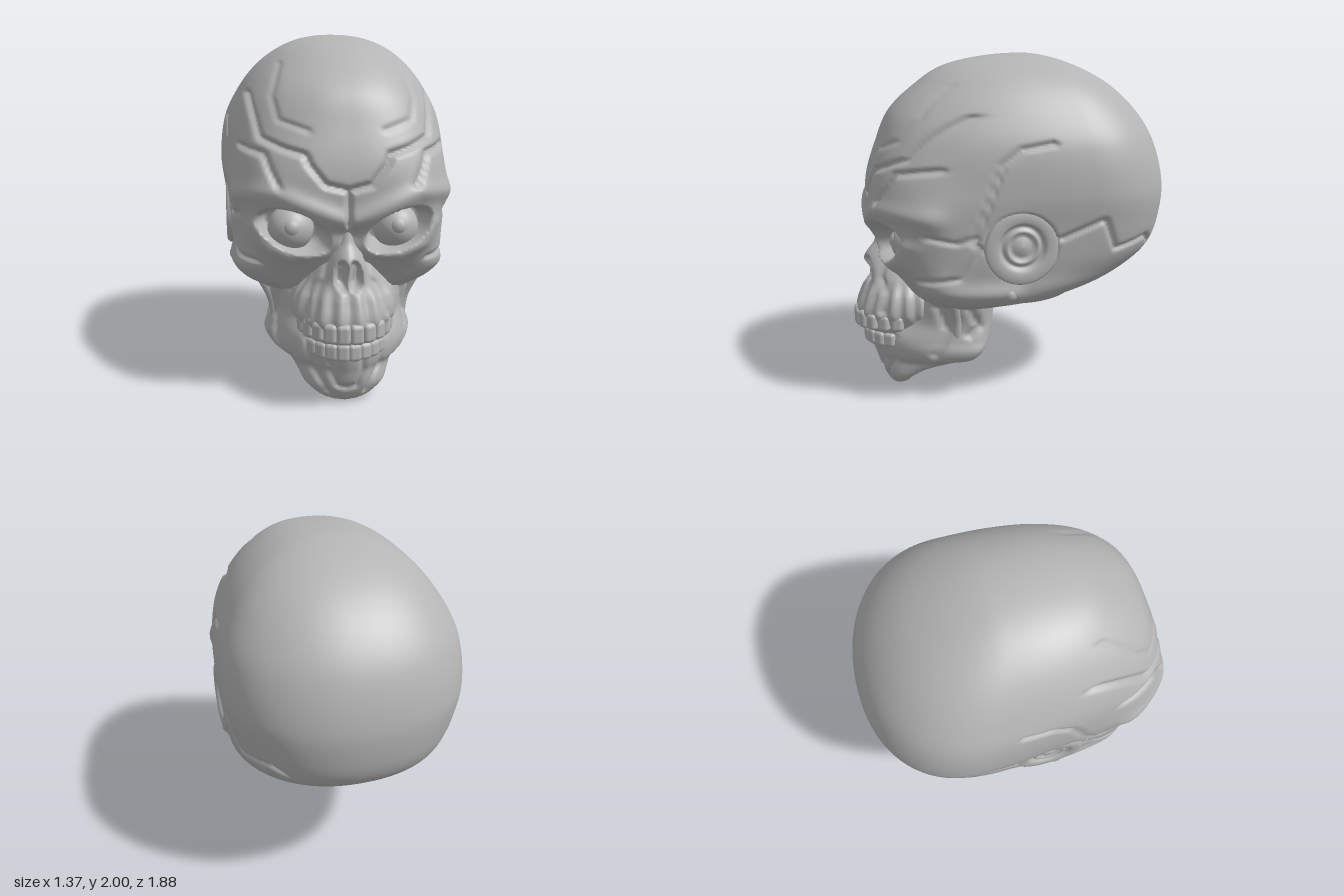
import * as THREE from 'three';
import { RoundedBoxGeometry } from 'three/addons/geometries/RoundedBoxGeometry.js';

const bone = new THREE.MeshStandardMaterial({ color: 0xb4b4b4 });
bone.name = 'bone grey';

// Smooth interpolation of a table row, keyed by its first column (height, top first)
function sampleRows(rows, y) {
  const key = (v) => Math.sqrt(Math.max(0, rows[0][0] - v));
  const k = rows.map((r) => key(r[0])), q = key(y), last = rows.length - 1;
  let i = 0;
  while (i < last - 1 && q > k[i + 1]) i++;
  const h = k[i + 1] - k[i], t = Math.min(1, (q - k[i]) / h);
  const slope = (c, n) => {
    const a = Math.max(0, n - 1), b = Math.min(last, n + 1);
    return (rows[b][c] - rows[a][c]) / (k[b] - k[a]);
  };
  return rows[0].map((_, c) => {
    const t2 = t * t, t3 = t2 * t;
    return rows[i][c] * (2 * t3 - 3 * t2 + 1) + rows[i + 1][c] * (3 * t2 - 2 * t3)
      + h * (slope(c, i) * (t3 - 2 * t2 + t) + slope(c, i + 1) * (t3 - t2));
  });
}

// Loft of horizontal superellipse slices: [y, halfWidth, frontZ, backZ, centreZ, frontPower]
// sculpt(p, angle) returns the push along the slice radius and may move p itself.
function loft(rows, nu, nv, warp, sculpt) {
  const pos = [], index = [], p = new THREE.Vector3();
  const y0 = rows[0][0], height = y0 - rows[rows.length - 1][0];
  for (let i = 0; i < nv; i++) {
    const y = y0 - height * Math.pow(i / (nv - 1), 1.3);
    const [, w, zf, zb, zc, nf] = sampleRows(rows, y);
    for (let j = 0; j < nu; j++) {
      const s = (2 * j) / nu - 1;
      const a = Math.PI * Math.sign(s) * Math.pow(Math.abs(s), warp);
      const front = Math.cos(a) > 0, n = front ? nf : 2.2;
      const d = Math.max(1e-3, front ? zf - zc : zc - zb);
      const r = 1 / Math.pow(Math.pow(Math.abs(Math.sin(a)) / Math.max(w, 1e-3), n)
        + Math.pow(Math.abs(Math.cos(a)) / d, n), 1 / n);
      p.set(r * Math.sin(a), y, zc + r * Math.cos(a));
      const push = r > 0.05 ? sculpt(p, a) : 0;
      pos.push(p.x + push * Math.sin(a), p.y, p.z + push * Math.cos(a));
    }
  }
  for (let i = 0; i < nv - 1; i++) for (let j = 0; j < nu; j++) {
    const k = (j + 1) % nu, a = i * nu + j, b = a + nu, c = (i + 1) * nu + k, d = i * nu + k;
    index.push(a, b, c, a, c, d);
  }
  // Close both ends
  const top = pos.length / 3, base = (nv - 1) * nu;
  pos.push(0, y0, rows[0][4], 0, y0 - height, rows[rows.length - 1][4]);
  for (let j = 0; j < nu; j++) {
    const k = (j + 1) % nu;
    index.push(top, j, k, top + 1, base + k, base + j);
  }
  const g = new THREE.BufferGeometry();
  g.setAttribute('position', new THREE.Float32BufferAttribute(pos, 3));
  g.setIndex(index);
  g.computeVertexNormals();
  return g;
}

// Bell-shaped stroke along a 2D polyline, 1 on the line and fading over the width
function stroke(x, y, line, width) {
  let best = 1e9;
  for (let i = 0; i < line.length - 1; i++) {
    const [ax, ay] = line[i], dx = line[i + 1][0] - ax, dy = line[i + 1][1] - ay;
    const t = THREE.MathUtils.clamp(((x - ax) * dx + (y - ay) * dy) / (dx * dx + dy * dy), 0, 1);
    best = Math.min(best, Math.hypot(x - ax - t * dx, y - ay - t * dy));
  }
  return Math.exp(-((best / width) ** 2));
}
const step = THREE.MathUtils.smoothstep;
const bell = (u, v) => Math.exp(-u * u - v * v);

const skullRows = [
  [2.0, 0, -0.1, -0.1, -0.1, 2.2], [1.985, 0.16, 0.12, -0.23, -0.1, 2.2],
  [1.93, 0.31, 0.36, -0.41, -0.12, 2.3], [1.82, 0.46, 0.535, -0.615, -0.2, 2.4],
  [1.67, 0.575, 0.69, -0.775, -0.28, 2.5], [1.5, 0.655, 0.765, -0.88, -0.33, 2.7],
  [1.25, 0.685, 0.835, -0.947, -0.36, 3.2], [1.05, 0.66, 0.825, -0.94, -0.33, 3.3],
  [0.9, 0.64, 0.79, -0.895, -0.25, 3.3], [0.8, 0.62, 0.74, -0.8, -0.15, 3.2],
  [0.7, 0.605, 0.66, -0.62, 0, 3], [0.63, 0.56, 0.61, -0.38, 0.12, 2.8],
  [0.58, 0.46, 0.56, -0.1, 0.22, 2.6],
];
const brow = [[0.03, 1.02], [0.18, 1.08], [0.38, 1.16], [0.53, 1.15]];
const cheek = [[0.14, 0.84], [0.3, 0.81], [0.44, 0.87], [0.5, 0.97]];
const faceCracks = [
  [[0, 1.0], [0, 1.18], [0.12, 1.21], [0.2, 1.31], [0.22, 1.36], [0.33, 1.39], [0.45, 1.44], [0.51, 1.66]],
  [[0.36, 1.2], [0.4, 1.28], [0.43, 1.36], [0.57, 1.39]],
  [[0.33, 1.82], [0.38, 1.65], [0.35, 1.53], [0.2, 1.48]],
];
const sideCracks = [
  [[-0.13, 1.53], [0.05, 1.5], [0.16, 1.42], [0.25, 1.18], [0.31, 1.0], [0.26, 0.96]],
  [[-0.17, 1.01], [-0.42, 1.11], [-0.5, 0.93], [-0.73, 0.97], [-0.82, 0.87]],
  [[0.55, 1.03], [0.4, 1.0], [0.31, 1.03]], [[0.28, 0.95], [0.38, 0.8], [0.6, 0.77]],
];

function sculptSkull(p) {
  const x = Math.abs(p.x), y = p.y, z = p.z, side = Math.sign(p.x);
  let push = 0;
  if (z > 0.15) {
    faceCracks.forEach((line, i) => { push -= (i === 2 ? 0.012 : 0.03) * stroke(x, y, line, 0.016); });
    // Eye sockets, under heavy slanted brows
    const u = (x - 0.28) * 0.93 + (y - 0.96) * 0.37, v = (y - 0.96) * 0.93 - (x - 0.28) * 0.37;
    const e = Math.hypot(u / 0.195, v / 0.108);
    p.z += 0.035 * stroke(x, y, brow, 0.055) + 0.025 * stroke(x, y, cheek, 0.035);
    p.z -= 0.2 * (1 - step(e, 0.75, 1.05));
    p.z -= 0.03 * bell(x / 0.07, (y - 0.95) / 0.05);
  }
  if (x > 0.36) {
    const fade = step(x, 0.36, 0.46);
    sideCracks.forEach((line) => { push -= 0.022 * fade * stroke(z, y, line, 0.014); });
    // Flat temples, brow corners, cheek arch and the seat of the ear disc
    const temple = bell((z - 0.38) / 0.2, (y - 1.3) / 0.17);
    const flat = bell((z - 0.1) / 0.28, (y - 1.2) / 0.35);
    const corner = bell((z - 0.54) / 0.09, (y - 1.13) / 0.07);
    const arch = stroke(z, y, [[0.08, 0.7], [0.55, 0.7]], 0.05);
    const cheekBone = bell((z - 0.5) / 0.12, (y - 0.75) / 0.1);
    const seat = 1 - step(Math.hypot(z - 0.04, y - 0.97), 0.17, 0.2);
    p.x += side * fade * (0.02 * arch + 0.03 * cheekBone + 0.03 * corner
      - 0.02 * temple - 0.025 * flat - 0.04 * seat);
  }
  return push;
}

const muzzleRows = [
  [0.98, 0.06, 0.78, 0.5, 0.58, 2.2], [0.9, 0.08, 0.8, 0.5, 0.58, 2.1],
  [0.8, 0.135, 0.865, 0.5, 0.57, 1.9], [0.68, 0.215, 0.85, 0.48, 0.56, 2],
  [0.6, 0.27, 0.88, 0.45, 0.55, 2.1], [0.5, 0.28, 0.91, 0.42, 0.55, 2.2],
  [0.43, 0.25, 0.89, 0.42, 0.55, 2.2], [0.35, 0.215, 0.85, 0.42, 0.55, 2.2],
  [0.28, 0.18, 0.8, 0.42, 0.55, 2.2],
];
function sculptMuzzle(p, a) {
  if (p.z < 0.55) return 0;
  const x = Math.abs(p.x), y = p.y;
  // Heart-shaped nose opening with a thin septum
  const hole = Math.hypot((x - 0.03) / (0.042 + 0.1 * Math.max(0, 0.76 - y)), (y - 0.735) / 0.085);
  p.z -= 0.08 * (1 - step(hole, 0.6, 1.05)) * (0.35 + 0.65 * step(x, 0.004, 0.02));
  // Tooth roots
  const fade = step(y, 0.43, 0.5) * (1 - step(y, 0.58, 0.72));
  return 0.011 * fade * Math.cos(a * 22.4 + Math.PI)
    - 0.02 * stroke(x, y, [[0.1, 0.82], [0.13, 0.7], [0.2, 0.62], [0.22, 0.52]], 0.013);
}

const jawRows = [
  [0.64, 0.48, 0.56, 0.12, 0.3, 1.9], [0.55, 0.43, 0.66, 0.1, 0.28, 1.8],
  [0.45, 0.405, 0.74, 0.1, 0.27, 1.7], [0.36, 0.415, 0.83, 0.12, 0.26, 1.7],
  [0.3, 0.43, 0.84, 0.15, 0.27, 1.65], [0.24, 0.395, 0.825, 0.2, 0.31, 1.7],
  [0.2, 0.31, 0.81, 0.26, 0.4, 1.8], [0.15, 0.255, 0.795, 0.46, 0.55, 1.9],
  [0.1, 0.22, 0.775, 0.56, 0.63, 2], [0.04, 0.145, 0.745, 0.6, 0.67, 2],
  [0.015, 0.09, 0.725, 0.63, 0.68, 2], [0, 0.02, 0.7, 0.68, 0.69, 2],
];
const chinCracks = [
  [[0.08, 0.29], [0.085, 0.2], [0.055, 0.11], [0, 0.1]], [[0.21, 0.36], [0.19, 0.22], [0.11, 0.07]],
];
const jawCracks = [[[0.47, 0.56], [0.42, 0.42], [0.5, 0.28]], [[0.3, 0.57], [0.24, 0.45], [0.3, 0.4]]];
function sculptJaw(p) {
  const x = Math.abs(p.x);
  let push = 0;
  if (p.z > 0.5) chinCracks.forEach((line) => { push -= 0.02 * stroke(x, p.y, line, 0.013); });
  if (x > 0.2) jawCracks.forEach((line) => { push -= 0.025 * stroke(p.z, p.y, line, 0.02); });
  return push;
}

export function createModel() {
  const model = new THREE.Group();
  model.name = 'skull';
  const add = (name, geometry, x = 0, y = 0, z = 0) => {
    const mesh = new THREE.Mesh(geometry, bone);
    mesh.name = name;
    mesh.position.set(x, y, z);
    model.add(mesh);
    return mesh;
  };
  const lathe = (points) => new THREE.LatheGeometry(points.map(([r, h]) => new THREE.Vector2(r, h)), 48);

  add('cranium', loft(skullRows, 256, 156, 1.6, sculptSkull));
  add('upperJaw', loft(muzzleRows, 112, 64, 1.25, sculptMuzzle));
  add('lowerJaw', loft(jawRows, 120, 64, 1.25, sculptJaw));

  // Upper and lower rows of teeth along an arch
  const teeth = (name, y, rx, zc, rz, h) => {
    for (let i = -4.5; i <= 4.5; i++) {
      const a = i * 0.28;
      const size = 1 - 0.03 * Math.abs(i);
      const tooth = add(name, new RoundedBoxGeometry(0.074, h * size, 0.07, 2, 0.024),
        rx * Math.sin(a), y, zc + rz * Math.cos(a));
      tooth.rotation.y = a;
    }
  };
  teeth('upperTooth', 0.445, 0.235, 0.6, 0.3, 0.11);
  teeth('lowerTooth', 0.33, 0.205, 0.59, 0.255, 0.1);

  const earShape = lathe([[0.212, -0.06], [0.21, 0.0], [0.195, 0.016], [0.145, 0.018], [0.13, 0.004],
    [0.12, -0.012], [0.105, -0.012], [0.095, 0.004], [0.08, 0.004], [0.07, -0.012], [0.05, -0.01],
    [0.035, 0.002], [0, 0.006]]);
  for (const s of [1, -1]) {
    add('eyeball', new THREE.SphereGeometry(0.125, 32, 20), s * 0.285, 0.95, 0.595);
    add('iris', new THREE.SphereGeometry(0.055, 20, 12), s * 0.285, 0.965, 0.675);
    add('earDisc', earShape, s * 0.624, 0.97, 0.04).rotation.z = -s * Math.PI / 2;
    add('cheekKnob', new THREE.SphereGeometry(0.045, 20, 14), s * 0.585, 0.7, 0.1);
    // Chewing muscle between cheek arch and jaw
    const path = new THREE.CatmullRomCurve3([
      new THREE.Vector3(s * 0.45, 0.64, 0.4), new THREE.Vector3(s * 0.385, 0.5, 0.37),
      new THREE.Vector3(s * 0.365, 0.38, 0.36), new THREE.Vector3(s * 0.34, 0.24, 0.34)]);
    add('jawMuscle', new THREE.TubeGeometry(path, 20, 0.03, 10));
  }

  // Round neck socket under the back of the skull
  const neck = add('neckSocket', lathe([[0, 0.012], [0.15, 0.012], [0.165, 0.03], [0.18, 0.012],
    [0.2, 0], [0.265, 0], [0.29, 0.015], [0.33, 0.06], [0.37, 0.1], [0.39, 0.2]]), 0, 0.53, -0.17);
  neck.rotation.x = 0.13;
  return model;
}
